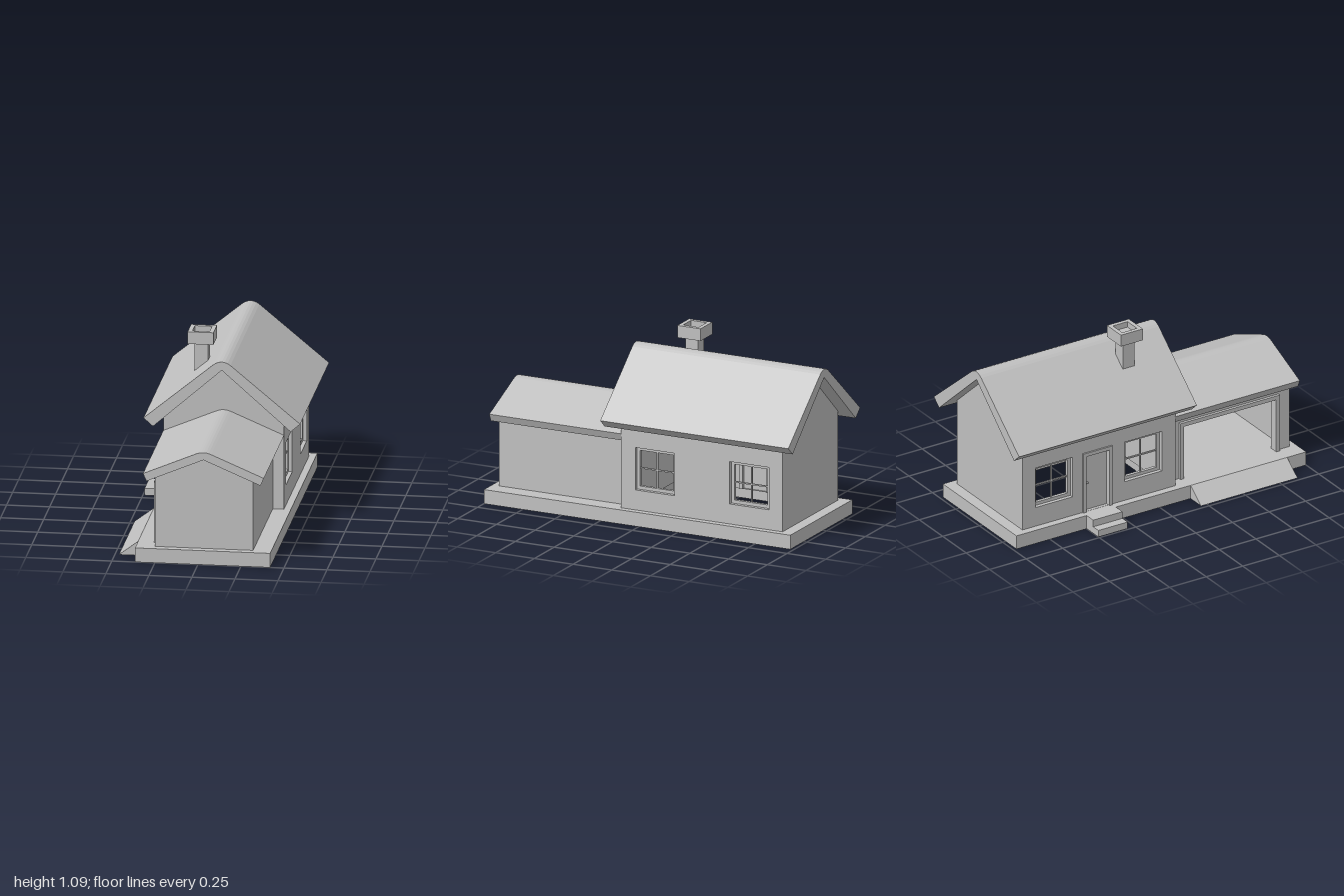
import * as THREE from 'three';

const CX = 0.03;      // ridge line of both roofs
const BASE = 0.085;   // top of the plinth

export function createModel() {
  const house = new THREE.Group();
  house.name = 'house';
  const grey = new THREE.MeshStandardMaterial({ color: 0xc0c0c0, side: THREE.DoubleSide });
  grey.name = 'plain grey';

  const add = (name, geo, parent = house) => {
    const mesh = new THREE.Mesh(geo, grey);
    mesh.name = name;
    parent.add(mesh);
    return mesh;
  };
  // box given by its limits on each axis
  const boxGeo = (x0, x1, y0, y1, z0, z1) =>
    new THREE.BoxGeometry(x1 - x0, y1 - y0, z1 - z0)
      .translate((x0 + x1) / 2, (y0 + y1) / 2, (z0 + z1) / 2);
  const box = (name, lim, parent) => add(name, boxGeo(...lim), parent);
  // box without its underside
  const openBox = (name, lim) => {
    const geo = boxGeo(...lim);
    const idx = Array.from(geo.index.array);
    idx.splice(18, 6);
    geo.setIndex(idx);
    geo.clearGroups();
    return add(name, geo);
  };
  const polygon = (pts) => new THREE.Shape(pts.map(([x, y]) => new THREE.Vector2(x, y)));
  const rect = (a0, a1, b0, b1) => polygon([[a0, b0], [a1, b0], [a1, b1], [a0, b1]]);
  // shape in (x, y) extruded along z
  const alongZ = (name, shape, z0, z1) => add(name, new THREE.ExtrudeGeometry(shape,
    { depth: z1 - z0, bevelEnabled: false, curveSegments: 6 }).translate(0, 0, z0));
  // shape in (z, y) extruded along x
  const alongX = (name, shape, x0, x1, parent) => add(name, new THREE.ExtrudeGeometry(shape,
    { depth: x1 - x0, bevelEnabled: false }).rotateY(-Math.PI / 2).translate(x1, 0, 0), parent);

  // gable roof with a rounded ridge
  function roof(name, [ex, ey], [ix, iy], [rx, ry], peak, under, z0, z1) {
    const s = new THREE.Shape();
    s.moveTo(CX + ex, ey);
    s.lineTo(CX + rx, ry);
    s.quadraticCurveTo(CX, peak, CX - rx, ry);
    s.lineTo(CX - ex, ey);
    s.lineTo(CX - ix, iy);
    s.lineTo(CX, under);
    s.lineTo(CX + ix, iy);
    s.closePath();
    alongZ(name, s, z0, z1);
  }
  roof('houseRoof', [0.455, 0.626], [0.4, 0.577], [0.05, 0.962], 1.0, 0.931, -1.0, 0.215);
  roof('garageRoof', [0.351, 0.53], [0.331, 0.485], [0.045, 0.66], 0.68, 0.626, 0.13, 0.985);

  // plinth: solid under the garage, hollow under the house
  const T = 0.004;
  box('garageSlab', [-0.365, 0.42, 0, BASE, 0.135, 1.0]);
  box('plinthSideRight', [-0.365, -0.365 + T, 0, BASE, -0.98, 0.135]);
  box('plinthSideLeft', [0.42 - T, 0.42, 0, BASE, -0.98, 0.135]);
  box('plinthBack', [-0.365, 0.42, 0, BASE, -0.98, -0.98 + T]);
  box('plinthLedgeRight', [-0.365, -0.315, BASE - T, BASE, -0.98, 0.135]);
  box('plinthLedgeLeft', [0.375, 0.42, BASE - T, BASE, -0.98, 0.135]);
  box('plinthLedgeBack', [-0.315, 0.375, BASE - T, BASE, -0.98, -0.905]);

  // door steps and garage ramp
  openBox('lowerStep', [-0.49, -0.435, 0, 0.042, -0.5, -0.3]);
  openBox('upperStep', [-0.435, -0.365, 0, BASE, -0.5, -0.3]);
  alongZ('ramp', polygon([[-0.477, 0], [-0.365, 0], [-0.365, BASE]]), 0.21, 0.87);

  // house gable walls
  const gable = (half, eave, top) => polygon([
    [CX - half, BASE], [CX + half, BASE], [CX + half, eave], [CX, top], [CX - half, eave]]);
  alongZ('houseBackWall', gable(0.35, 0.625, 0.935), -0.91, -0.865);
  alongZ('houseFrontWall', gable(0.35, 0.625, 0.935), 0.09, 0.135);

  // house side walls with openings
  const windows = [-0.085, -0.695];
  const W = 0.127, Y0 = 0.205, Y1 = 0.46, DOOR_Z = -0.4;
  for (const side of [-1, 1]) {
    const s = rect(-0.9, 0.13, BASE, 0.64);
    for (const z of windows) s.holes.push(rect(z - W, z + W, Y0, Y1));
    if (side < 0) s.holes.push(rect(DOOR_Z - 0.08, DOOR_Z + 0.08, BASE + 0.001, 0.445));
    const xa = CX + side * 0.35, xb = CX + side * 0.3;
    alongX(side < 0 ? 'houseRightWall' : 'houseLeftWall', s, Math.min(xa, xb), Math.max(xa, xb));

    // window sashes set back in the openings
    for (const z of windows) {
      const win = new THREE.Group();
      win.name = 'window';
      house.add(win);
      const x = CX + side * 0.317;
      const sash = rect(z - W, z + W, Y0, Y1);
      sash.holes.push(rect(z - W + 0.02, z + W - 0.02, Y0 + 0.02, Y1 - 0.02));
      alongX('sash', sash, x - 0.01, x + 0.01, win);
      const ym = (Y0 + Y1) / 2;
      box('uprightBar', [x - 0.005, x + 0.005, Y0 + 0.015, Y1 - 0.015, z - 0.004, z + 0.004], win);
      box('crossBar', [x - 0.005, x + 0.005, ym - 0.004, ym + 0.004, z - W + 0.015, z + W - 0.015], win);
    }
  }

  // frame around three sides of an opening
  function doorFrame(name, z0, z1, top, w, x0, x1) {
    alongX(name, polygon([[z0, BASE], [z0 + w, BASE], [z0 + w, top - w], [z1 - w, top - w],
      [z1 - w, BASE], [z1, BASE], [z1, top], [z0, top]]), x0, x1);
  }

  // front door
  doorFrame('doorFrame', DOOR_Z - 0.1, DOOR_Z + 0.1, 0.465, 0.022, -0.33, -0.262);
  box('door', [-0.3, -0.285, BASE, 0.445, DOOR_Z - 0.08, DOOR_Z + 0.08]);
  for (const x of [-0.306, -0.279])
    add('doorKnob', new THREE.SphereGeometry(0.008, 12, 8).translate(x, 0.26, DOOR_Z - 0.06));

  // garage walls, open on one side
  alongZ('garageFrontWall', gable(0.285, 0.51, 0.63), 0.925, 0.955);
  box('garageLeftWall', [0.285, 0.315, BASE, 0.515, 0.13, 0.93]);
  alongX('garageRightWall', polygon([[0.13, BASE], [0.22, BASE], [0.22, 0.425], [0.86, 0.425],
    [0.86, BASE], [0.93, BASE], [0.93, 0.515], [0.13, 0.515]]), -0.255, -0.225);
  doorFrame('garageDoorFrame', 0.2, 0.88, 0.445, 0.025, -0.272, -0.215);

  // chimney with a recessed cap
  box('chimneyShaft', [-0.165, -0.085, 0.8, 1.045, -0.125, -0.045]);
  const cap = rect(-0.2, -0.05, 0.01, 0.16);
  cap.holes.push(rect(-0.175, -0.075, 0.035, 0.135));
  add('chimneyCap', new THREE.ExtrudeGeometry(cap, { depth: 0.073, bevelEnabled: false })
    .rotateX(-Math.PI / 2).translate(0, 1.012, 0));
  box('chimneyCapFloor', [-0.18, -0.07, 1.013, 1.05, -0.14, -0.03]);

  return house;
}
